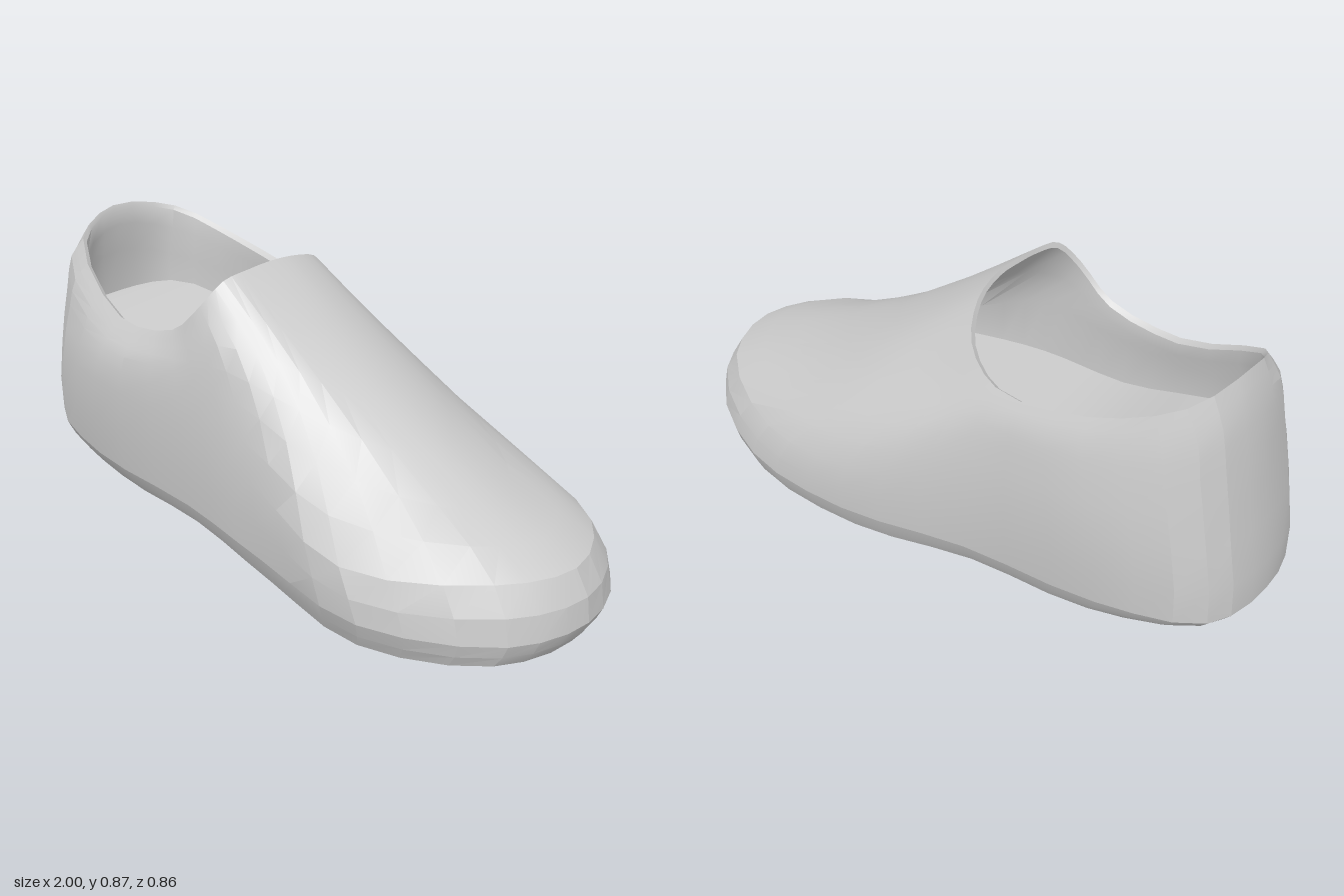
import * as THREE from 'three';
import { toCreasedNormals } from 'three/addons/utils/BufferGeometryUtils.js';

// Rings run from the toe along +z to the heel and back along -z: [x, y, z]
const soleEdge = [
  [.96, .08, .05], [.87, .065, .26], [.52, .025, .385], [.15, .035, .335], [-.2, .08, .3],
  [-.57, .1, .29], [-.88, .145, .225], [-.96, .175, .02], [-.9, .17, -.17], [-.63, .13, -.265],
  [-.25, .11, -.3], [.13, .085, -.385], [.53, .085, -.38], [.87, .09, -.2]];
const welt = [
  [1, .15, .04], [.91, .14, .26], [.55, .12, .425], [.15, .12, .37], [-.2, .15, .335],
  [-.62, .18, .335], [-.93, .21, .24], [-1, .225, .02], [-.95, .22, -.19], [-.67, .2, -.295],
  [-.25, .18, -.335], [.15, .16, -.42], [.55, .15, -.4], [.91, .15, -.2]];
const sidewall = [
  [.95, .29, .04], [.85, .29, .25], [.48, .26, .415], [.1, .35, .365], [-.2, .42, .355],
  [-.57, .46, .372], [-.91, .45, .24], [-.97, .45, .02], [-.92, .45, -.19], [-.66, .45, -.315],
  [-.25, .42, -.34], [.12, .32, -.412], [.48, .28, -.385], [.84, .29, -.195]];
const vamp = [
  [.72, .385, .05], [.62, .4, .19], [.3, .46, .31], [.02, .56, .34], [-.22, .58, .35],
  [-.53, .57, .36], [-.87, .65, .23], [-.93, .68, .02], [-.88, .65, -.19], [-.62, .6, -.31],
  [-.27, .57, -.32], [0, .5, -.35], [.28, .44, -.32], [.6, .4, -.13]];
const instep = [
  [.3, .595, .06], [.25, .605, .16], [.1, .67, .25], [-.06, .695, .325], [-.24, .64, .333],
  [-.52, .62, .335], [-.85, .75, .22], [-.9, .8, .02], [-.86, .75, -.185], [-.6, .69, -.297],
  [-.29, .65, -.295], [-.08, .65, -.255], [.08, .66, -.19], [.24, .62, -.06]];
const collar = [
  [-.1, .87, .08], [-.1, .865, .17], [-.11, .85, .25], [-.15, .78, .305], [-.26, .685, .315],
  [-.5, .66, .31], [-.81, .81, .2], [-.87, .87, .03], [-.82, .835, -.185], [-.6, .755, -.27],
  [-.3, .705, -.262], [-.17, .76, -.205], [-.12, .835, -.12], [-.1, .865, -.01]];

const N = 42;      // points around each ring
const STEPS = 2;   // rows between two key rings

const sampleRing = ring => {
  const curve = new THREE.CatmullRomCurve3(ring.map(p => new THREE.Vector3(...p)), true);
  return Array.from({ length: N }, (_, j) => curve.getPoint(j / N));
};

// Ring scaled about the middle of the shoe, with its own height rule
const inset = (ring, cx, sx, sz, height) => ring.map(p => new THREE.Vector3(
  cx + (p.x - cx) * sx, height(p), .02 + (p.z - .02) * sz));

const material = new THREE.MeshStandardMaterial({ color: 0xcccccc });
function makeMesh(name, points, index, crease) {
  const geometry = new THREE.BufferGeometry().setFromPoints(points);
  geometry.setIndex(index);
  const mesh = new THREE.Mesh(toCreasedNormals(geometry, crease), material);
  mesh.name = name;
  return mesh;
}

// Wall through a stack of rings
function wall(name, rows, crease) {
  const index = [];
  for (let r = 0; r < rows.length - 1; r++) {
    for (let j = 0; j < N; j++) {
      const a = r * N + j, b = r * N + (j + 1) % N;
      index.push(a, a + N, b, b, a + N, b + N);
    }
  }
  return makeMesh(name, rows.flat(), index, crease);
}

// Surface spanning a ring, bridged crosswise between its two sides
function span(name, ring, facesUp) {
  const index = [];
  for (let j = 0; j < N / 2; j++) {
    const a = j, b = j + 1, c = N - j - 1, d = (N - j) % N;
    for (const t of [[a, b, c], [a, c, d]]) {
      if (new Set(t).size === 3) index.push(...(facesUp ? t.reverse() : t));
    }
  }
  return makeMesh(name, ring, index, 0.6);
}

export function createModel() {
  const shoe = new THREE.Group();
  shoe.name = 'shoe';

  // Outer skin: lightly faceted, with a smooth profile in every column from sole to collar
  const keys = [soleEdge, welt, sidewall, vamp, instep, collar].map(sampleRing);
  const profiles = keys[0].map((_, j) => new THREE.CatmullRomCurve3(keys.map(ring => ring[j])));
  const count = (keys.length - 1) * STEPS;
  const rows = Array.from({ length: count + 1 }, (_, r) => profiles.map(c => c.getPoint(r / count)));
  shoe.add(wall('upper', rows, 0.25));

  // Sole: bevelled border around a slightly lower tread
  const tread = inset(rows[0], 0, .93, .82, p => p.y - .022);
  shoe.add(wall('soleBevel', [tread, rows[0]], 0.6));
  shoe.add(span('outsole', tread, false));

  // Lining: thin lip, then the inside of the upper, reaching forward under the vamp
  const rim = rows[count];
  const lip = inset(rim, -.48, .985, .95, p => p.y - .012);
  const innerInstep = inset(rows[count - 1], -.3, .95, .91, p => p.y - .03);
  const innerVamp = inset(rows[count - 3], -.3, .93, .88, p => p.y - .03);

  // Footbed: rises towards the heel
  const footbedEdge = inset(innerVamp, 0, 1, 1,
    p => .43 + .15 * THREE.MathUtils.smoothstep(-p.x, .3, .86));
  shoe.add(wall('lining', [rim, lip, innerInstep, innerVamp, footbedEdge], 0.6));
  shoe.add(span('footbed', footbedEdge, true));

  return shoe;
}
